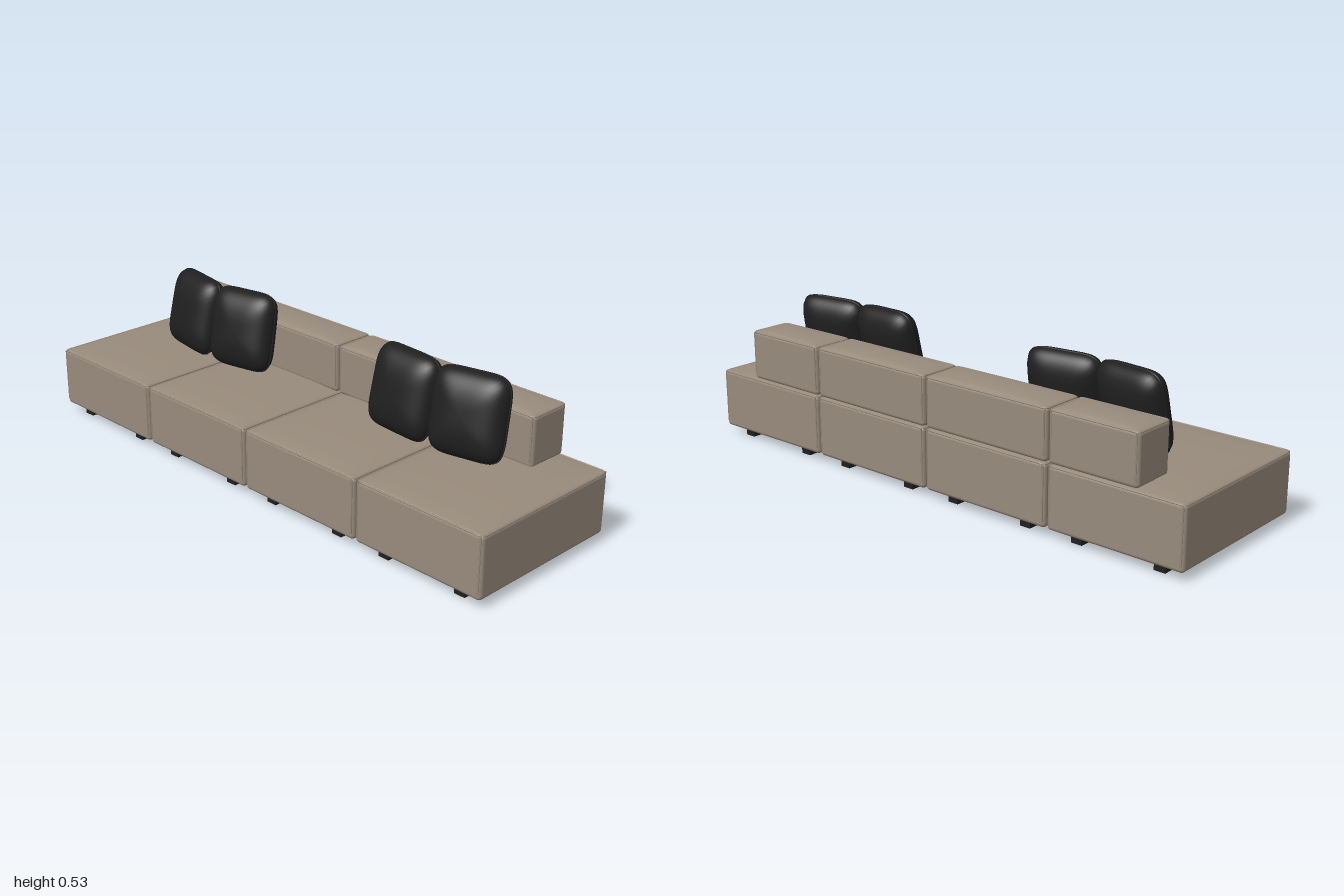
import * as THREE from 'three';
import { RoundedBoxGeometry } from 'three/addons/geometries/RoundedBoxGeometry.js';
import { mergeVertices } from 'three/addons/utils/BufferGeometryUtils.js';

const fabric = new THREE.MeshStandardMaterial({ color: 0x988b7c });
fabric.name = 'taupe fabric';
const black = new THREE.MeshStandardMaterial({ color: 0x1f1f1f });
black.name = 'black';

function add(parent, name, geometry, material, x = 0, y = 0, z = 0) {
  const mesh = new THREE.Mesh(geometry, material);
  mesh.name = name;
  mesh.position.set(x, y, z);
  parent.add(mesh);
  return mesh;
}

// Closed piping around a rounded rectangle in the horizontal plane
function pipingLoop(w, d, r, thick) {
  const s = new THREE.Shape();
  const a = w / 2, b = d / 2;
  s.moveTo(-a + r, -b);
  s.lineTo(a - r, -b);
  s.absarc(a - r, -b + r, r, -Math.PI / 2, 0);
  s.lineTo(a, b - r);
  s.absarc(a - r, b - r, r, 0, Math.PI / 2);
  s.lineTo(-a + r, b);
  s.absarc(-a + r, b - r, r, Math.PI / 2, Math.PI);
  s.lineTo(-a, -b + r);
  s.absarc(-a + r, -b + r, r, Math.PI, Math.PI * 1.5);
  const pts = s.getSpacedPoints(140).slice(0, -1).map(p => new THREE.Vector3(p.x, 0, p.y));
  return new THREE.TubeGeometry(new THREE.CatmullRomCurve3(pts, true), 140, thick, 6, true);
}

// Gently domed upholstered top
function crownGeometry(w, d, rise) {
  const g = new THREE.PlaneGeometry(w, d, 20, 20).rotateX(-Math.PI / 2);
  const p = g.attributes.position;
  for (let i = 0; i < p.count; i++) {
    const u = 2 * p.getX(i) / w, v = 2 * p.getZ(i) / d;
    p.setY(i, rise * Math.sqrt(Math.max(0, (1 - u ** 4) * (1 - v * v))));
  }
  g.computeVertexNormals();
  return g;
}

// Upholstered block: rounded body, domed top and piped edges
function block(name, w, h, d, rise) {
  const group = new THREE.Group();
  group.name = name;
  const r = 0.014;
  add(group, 'body', new RoundedBoxGeometry(w, h, d, 4, r), fabric, 0, h / 2, 0);
  add(group, 'crown', crownGeometry(w - 0.02, d - 0.02, rise), fabric, 0, h - 0.0005, 0);
  add(group, 'topPiping', pipingLoop(w - 0.006, d - 0.006, r, 0.0035), fabric, 0, h - 0.004, 0);
  for (const sx of [-1, 1]) for (const sz of [-1, 1]) {
    add(group, 'cornerPiping', new THREE.CylinderGeometry(0.003, 0.003, h - 0.025, 6), fabric,
      sx * (w / 2 - 0.009), h / 2 + 0.008, sz * (d / 2 - 0.0015));
  }
  return group;
}

// Plump square cushion with a squarish outline, thin axis along z
const outline = (phi, n = 5.5) => {
  const c = Math.cos(phi), s = Math.sin(phi);
  const k = (Math.abs(c) ** n + Math.abs(s) ** n) ** (-1 / n);
  return [c * k, s * k];
};

function pillowGeometry(w, h, t) {
  const g = new THREE.SphereGeometry(1, 64, 32).rotateX(Math.PI / 2);
  const p = g.attributes.position;
  for (let i = 0; i < p.count; i++) {
    const x = p.getX(i), y = p.getY(i), z = p.getZ(i);
    const [ox, oy] = outline(Math.atan2(y, x));
    const r = Math.hypot(x, y) ** 0.75;
    p.setXYZ(i, ox * r * w / 2, oy * r * h / 2, z * t / 2);
  }
  g.deleteAttribute('uv');
  g.deleteAttribute('normal');
  const merged = mergeVertices(g, 1e-5);
  merged.computeVertexNormals();
  return merged;
}

function pillowSeam(w, h) {
  const pts = [];
  for (let i = 0; i < 64; i++) {
    const [x, y] = outline(i / 64 * Math.PI * 2);
    pts.push(new THREE.Vector3(x * w / 2, y * h / 2, 0));
  }
  return new THREE.TubeGeometry(new THREE.CatmullRomCurve3(pts, true), 96, 0.003, 6, true);
}

export function createModel() {
  const model = new THREE.Group();
  model.name = 'modularSofa';

  // Four seat modules with four feet each
  for (const cx of [-0.75, -0.25, 0.25, 0.75]) {
    const seat = block('seatModule', 0.492, 0.212, 0.594, 0.011);
    seat.position.set(cx, 0.028, 0);
    model.add(seat);
    for (const sx of [-0.15, 0.15]) for (const z of [-0.25, 0.25]) {
      add(model, 'foot', new THREE.BoxGeometry(0.04, 0.032, 0.04), black, cx + sx, 0.016, z);
    }
  }

  // Low backrests, shorter on the outer modules
  for (const side of [-1, 1]) {
    for (const [from, to] of [[0.004, 0.496], [0.504, 0.83]]) {
      const back = block('backrest', to - from, 0.175, 0.16, 0.009);
      back.position.set(side * (from + to) / 2, 0.241, -0.213);
      model.add(back);
    }
  }

  // Two pairs of loose cushions leaning back: x, z, yaw, roll
  const pw = 0.262, ph = 0.278;
  const cushion = pillowGeometry(pw, ph, 0.128);
  const seam = pillowSeam(pw, ph);
  const places = [
    [-0.648, -0.055, -0.15, -0.015], [-0.39, -0.055, 0.16, 0.015],
    [0.387, -0.045, -0.06, -0.015], [0.645, -0.055, 0.17, 0.015],
  ];
  for (const [x, z, yaw, roll] of places) {
    const pillow = new THREE.Group();
    pillow.name = 'pillow';
    pillow.position.set(x, 0.392, z);
    pillow.rotation.set(-0.21, yaw, roll, 'YXZ');
    add(pillow, 'cushion', cushion, black);
    add(pillow, 'cushionSeam', seam, black);
    model.add(pillow);
  }
  return model;
}
